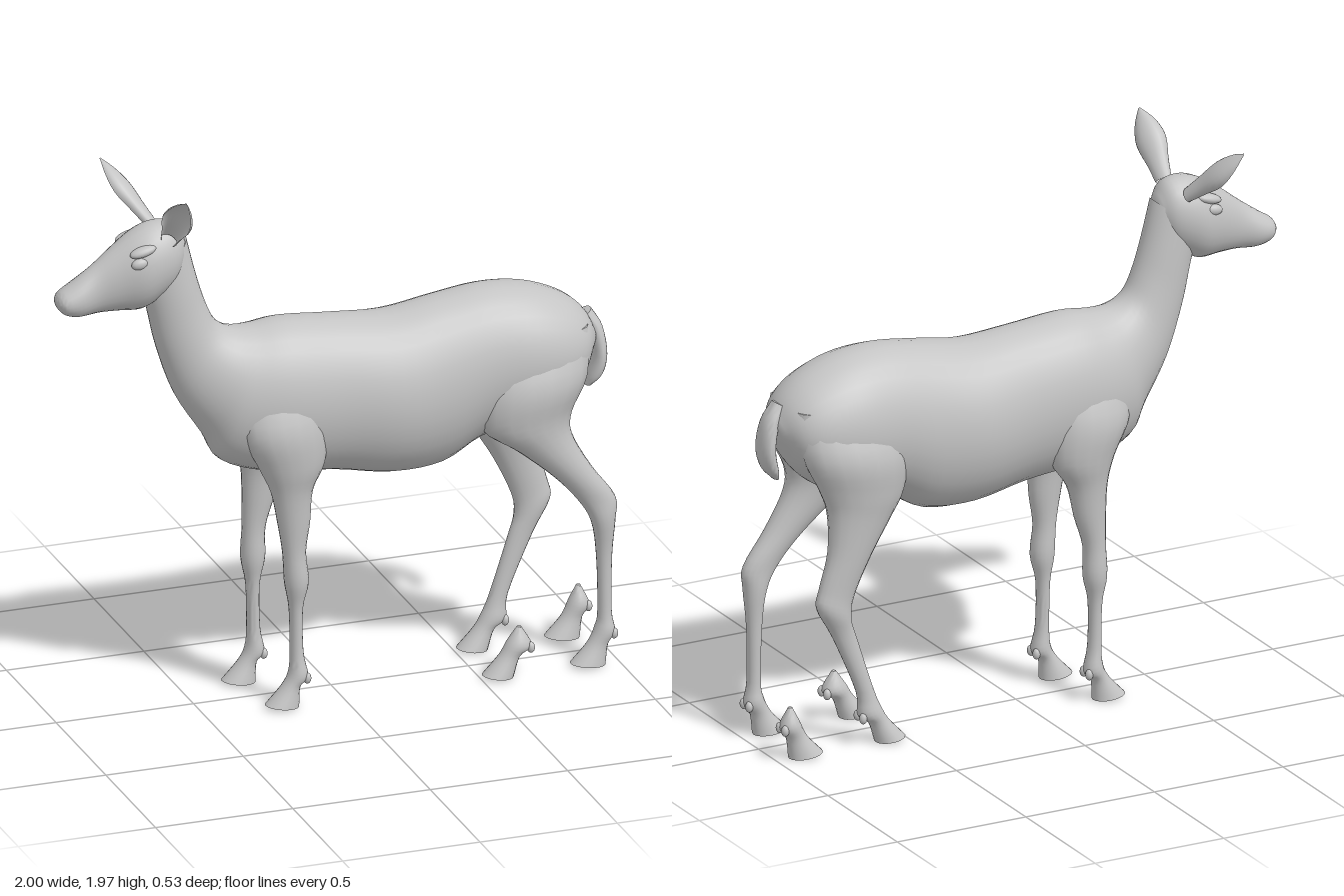
import * as THREE from 'three';
import { toCreasedNormals } from 'three/addons/utils/BufferGeometryUtils.js';

const coat = new THREE.MeshStandardMaterial({ color: 0xc4c4c4, side: THREE.DoubleSide });
coat.name = 'pale grey';

function mesh(name, geometry) {
  const m = new THREE.Mesh(geometry, coat);
  m.name = name;
  return m;
}

// Smooth skin over cross-sections. Each row holds two opposite edge points in
// the side plane, then the depth centre and half width: [ax, ay, bx, by, z, w].
function loft(name, rows, steps = 4, sides = 24) {
  const curveA = new THREE.CatmullRomCurve3(rows.map(r => new THREE.Vector3(r[0], r[1], r[4])), false, 'catmullrom', 0.5);
  const curveB = new THREE.CatmullRomCurve3(rows.map(r => new THREE.Vector3(r[2], r[3], r[5])), false, 'catmullrom', 0.5);
  const n = (rows.length - 1) * steps;
  const pos = [], index = [], centres = [];
  let turn = 0;
  for (let i = 0; i <= n; i++) {
    const a = curveA.getPoint(i / n), b = curveB.getPoint(i / n);
    const cx = (a.x + b.x) / 2, cy = (a.y + b.y) / 2;
    const hx = (a.x - b.x) / 2, hy = (a.y - b.y) / 2;
    if (i) turn += (cx - centres[i - 1][0]) * hy - (cy - centres[i - 1][1]) * hx;
    centres.push([cx, cy, a.z]);
    for (let j = 0; j < sides; j++) {
      const t = j / sides * Math.PI * 2;
      pos.push(cx + hx * Math.cos(t), cy + hy * Math.cos(t), a.z + b.z * Math.sin(t));
    }
  }
  const tri = (a, b, c) => turn > 0 ? index.push(a, b, c) : index.push(a, c, b);
  const first = pos.length / 3, last = first + 1;
  pos.push(...centres[0], ...centres[n]);
  for (let j = 0; j < sides; j++) {
    const k = (j + 1) % sides;
    for (let i = 0; i < n; i++) {
      const p = i * sides, q = p + sides;
      tri(p + j, p + k, q + j);
      tri(p + k, q + k, q + j);
    }
    tri(first, k, j);
    tri(last, n * sides + j, n * sides + k);
  }
  const g = new THREE.BufferGeometry();
  g.setAttribute('position', new THREE.Float32BufferAttribute(pos, 3));
  g.setIndex(index);
  return mesh(name, toCreasedNormals(g, 0.9));
}

function ellipsoid(name, x, y, z, rx, ry, rz, tilt = 0) {
  const m = mesh(name, new THREE.SphereGeometry(1, 14, 10));
  m.position.set(x, y, z);
  m.scale.set(rx, ry, rz);
  m.rotation.z = tilt;
  return m;
}

// Leg with hoof and two dewclaws behind the fetlock; rows are [fx, fy, bx, by, z, w]
function leg(name, rows, side) {
  const group = new THREE.Group();
  group.name = name;
  group.add(loft(name + 'Limb', rows.map(r => [r[0], r[1], r[2], r[3], r[4] * side, r[5]]), 4, 18));
  const f = rows[rows.length - 3];
  for (const s of [-1, 1]) {
    group.add(ellipsoid('dewclaw', f[2] - 0.008, f[3] - 0.005, f[4] * side + s * 0.02, 0.014, 0.02, 0.014));
  }
  return group;
}

// Cupped leaf-shaped ear from base to tip, opening towards "open"
function ear(name, base, tip, open) {
  const b = new THREE.Vector3(...base), axis = new THREE.Vector3(...tip).sub(b);
  const d = axis.clone().normalize(), o = new THREE.Vector3(...open);
  o.addScaledVector(d, -o.dot(d)).normalize();
  const s = new THREE.Vector3().crossVectors(d, o);
  const width = new THREE.SplineCurve([[0, 0.03], [0.25, 0.04], [0.55, 0.055], [0.8, 0.038], [1, 0.003]].map(p => new THREE.Vector2(...p)));
  const g = new THREE.PlaneGeometry(1, 1, 14, 14);
  const p = g.attributes.position, v = new THREE.Vector3();
  for (let i = 0; i < p.count; i++) {
    const w = width.getPoint(p.getY(i) + 0.5), a = p.getX(i) * (4.6 - 1.4 * w.x);
    v.copy(b).addScaledVector(axis, w.x)
      .addScaledVector(s, Math.sin(a) * w.y)
      .addScaledVector(o, (0.35 - Math.cos(a)) * w.y * 0.7);
    p.setXYZ(i, v.x, v.y, v.z);
  }
  g.computeVertexNormals();
  return mesh(name, g);
}

export function createModel() {
  const deer = new THREE.Group();
  deer.name = 'deer';

  // Neck and trunk, from throat to rump
  deer.add(loft('body', [
    [-0.53, 1.74, -0.70, 1.60, 0, 0.075], [-0.495, 1.60, -0.67, 1.49, 0, 0.08],
    [-0.46, 1.49, -0.635, 1.34, 0, 0.085], [-0.425, 1.42, -0.57, 1.16, 0, 0.10],
    [-0.37, 1.385, -0.47, 1.00, 0, 0.135], [-0.29, 1.38, -0.41, 0.90, 0, 0.165],
    [-0.18, 1.39, -0.25, 0.84, 0, 0.19], [0, 1.375, 0, 0.81, 0, 0.195],
    [0.2, 1.362, 0.2, 0.775, 0, 0.215], [0.38, 1.39, 0.38, 0.785, 0, 0.205],
    [0.55, 1.41, 0.52, 0.86, 0, 0.20], [0.70, 1.395, 0.68, 0.90, 0, 0.205],
    [0.83, 1.345, 0.79, 0.94, 0, 0.185], [0.91, 1.28, 0.87, 1.01, 0, 0.14],
    [0.955, 1.20, 0.92, 1.10, 0, 0.06],
  ], 4, 32));

  // Head, from nose to back of skull
  deer.add(loft('head', [
    [-1.0, 1.575, -0.995, 1.535, 0, 0.03], [-0.985, 1.595, -0.97, 1.51, 0, 0.052],
    [-0.94, 1.625, -0.92, 1.498, 0, 0.06], [-0.87, 1.675, -0.85, 1.503, 0, 0.056],
    [-0.80, 1.73, -0.78, 1.502, 0, 0.075], [-0.72, 1.785, -0.70, 1.50, 0, 0.105],
    [-0.65, 1.81, -0.64, 1.53, 0, 0.105], [-0.58, 1.80, -0.585, 1.57, 0, 0.085],
    [-0.54, 1.74, -0.55, 1.64, 0, 0.045],
  ]));
  for (const s of [-1, 1]) {
    deer.add(ellipsoid('eye', -0.725, 1.695, s * 0.086, 0.032, 0.02, 0.018, 0.15));
    deer.add(ellipsoid('brow', -0.71, 1.735, s * 0.075, 0.05, 0.018, 0.026, 0.25));
  }
  deer.add(ear('earNear', [-0.615, 1.77, 0.08], [-0.62, 1.97, 0.26], [-0.7, -0.5, 0.5]));
  deer.add(ear('earFar', [-0.62, 1.77, -0.08], [-0.745, 1.955, -0.265], [-0.8, -0.5, -0.3]));

  // Tail
  deer.add(loft('tail', [
    [0.89, 1.24, 0.945, 1.27, 0, 0.03], [0.93, 1.18, 0.985, 1.20, 0, 0.045],
    [0.945, 1.10, 1.0, 1.10, 0, 0.055], [0.93, 1.02, 0.985, 1.03, 0, 0.045],
    [0.925, 0.985, 0.945, 0.985, 0, 0.018],
  ]));

  // Front legs; the far one steps slightly ahead below the shoulder
  const front = [
    [-0.36, 1.17, -0.08, 1.20, 0.10, 0.06], [-0.37, 1.03, -0.06, 1.04, 0.12, 0.095],
    [-0.31, 0.90, -0.07, 0.90, 0.125, 0.085], [-0.265, 0.80, -0.115, 0.80, 0.13, 0.06],
    [-0.24, 0.68, -0.125, 0.68, 0.13, 0.048], [-0.222, 0.57, -0.14, 0.57, 0.13, 0.041],
    [-0.215, 0.46, -0.13, 0.46, 0.13, 0.045], [-0.198, 0.36, -0.15, 0.36, 0.128, 0.03],
    [-0.195, 0.20, -0.148, 0.20, 0.128, 0.028], [-0.20, 0.13, -0.132, 0.11, 0.13, 0.038],
    [-0.225, 0.08, -0.16, 0.075, 0.13, 0.035], [-0.285, 0.015, -0.165, 0.002, 0.13, 0.05],
  ];
  const ahead = front.map(r => {
    const dx = -0.065 * THREE.MathUtils.clamp((0.9 - r[1]) / 0.4, 0, 1);
    return [r[0] + dx, r[1], r[2] + dx, ...r.slice(3)];
  });
  deer.add(leg('frontLegNear', front, 1), leg('frontLegFar', ahead, -1));

  // Hind legs share the thigh; the near one is set back, the far one forward
  const thigh = [
    [0.52, 1.22, 0.90, 1.25, 0.10, 0.06], [0.49, 1.06, 0.89, 1.09, 0.12, 0.105],
    [0.51, 0.92, 0.83, 0.96, 0.125, 0.09],
  ];
  const back = [
    [0.63, 0.83, 0.83, 0.87, 0.13, 0.072], [0.76, 0.72, 0.90, 0.74, 0.135, 0.054],
    [0.85, 0.62, 0.985, 0.62, 0.135, 0.042], [0.90, 0.53, 0.985, 0.54, 0.135, 0.042],
    [0.92, 0.40, 0.975, 0.40, 0.13, 0.029], [0.925, 0.20, 0.973, 0.20, 0.13, 0.028],
    [0.915, 0.14, 0.985, 0.12, 0.13, 0.038], [0.885, 0.08, 0.96, 0.075, 0.13, 0.035],
    [0.825, 0.015, 0.95, 0.002, 0.13, 0.05],
  ];
  const forward = [
    [0.56, 0.83, 0.80, 0.87, 0.13, 0.072], [0.64, 0.70, 0.80, 0.73, 0.135, 0.054],
    [0.705, 0.56, 0.835, 0.60, 0.135, 0.042], [0.715, 0.48, 0.845, 0.53, 0.135, 0.042],
    [0.69, 0.40, 0.78, 0.41, 0.13, 0.03], [0.625, 0.20, 0.69, 0.20, 0.13, 0.028],
    [0.595, 0.13, 0.682, 0.11, 0.13, 0.038], [0.565, 0.08, 0.64, 0.075, 0.13, 0.035],
    [0.505, 0.015, 0.615, 0.002, 0.13, 0.05],
  ];
  deer.add(leg('hindLegNear', [...thigh, ...back], 1), leg('hindLegFar', [...thigh, ...forward], -1));

  // Loose hooves mirroring each hind foot
  deer.add(leg('looseHoofNear', [[0.63, 0.18, 0.645, 0.18, 0.13, 0.008], ...forward.slice(-3)], 1));
  deer.add(leg('looseHoofFar', [[0.94, 0.19, 0.955, 0.19, 0.13, 0.008], ...back.slice(-3)], -1));

  return deer;
}
